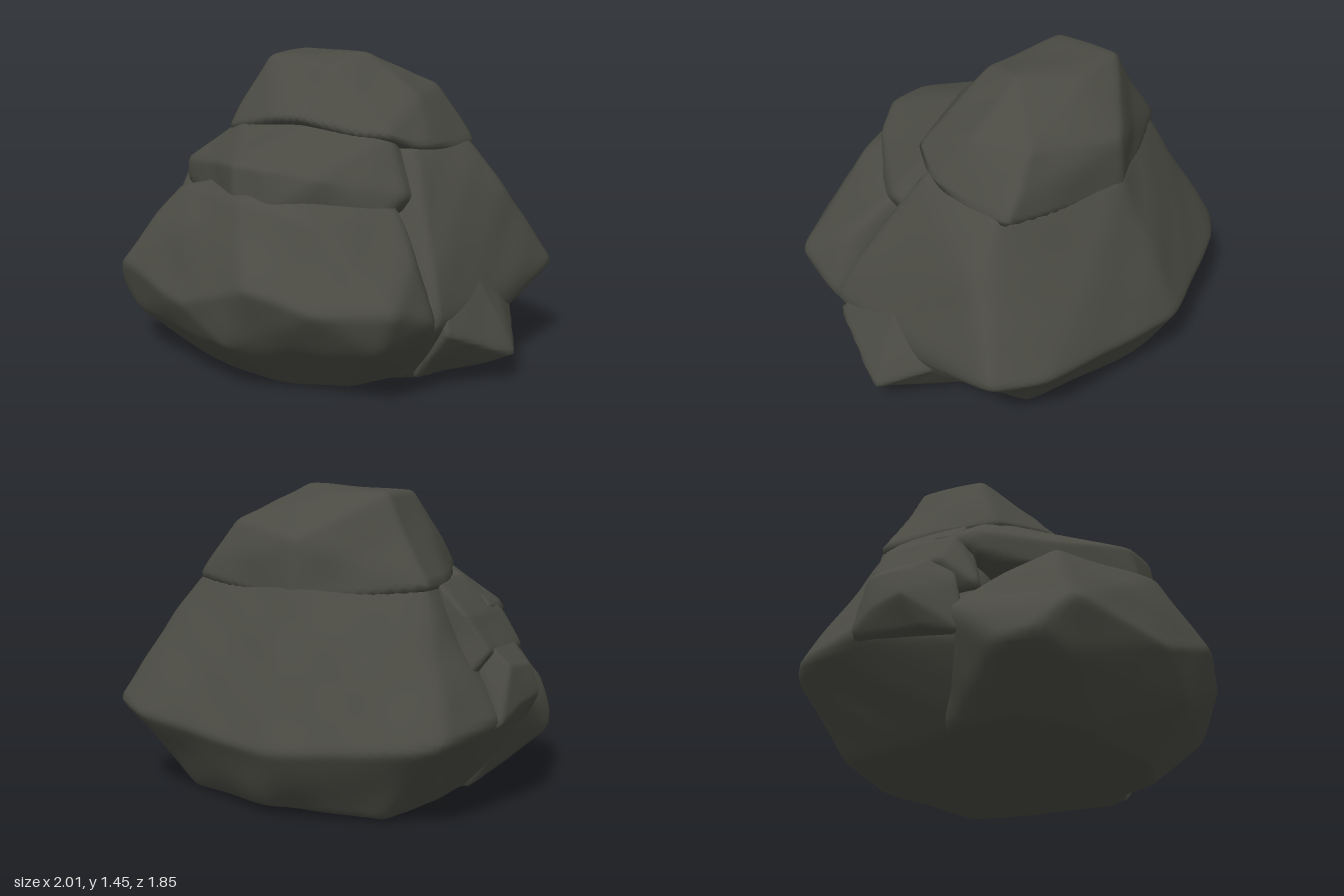
import * as THREE from 'three';
import { mergeVertices } from 'three/addons/utils/BufferGeometryUtils.js';
import { ConvexGeometry } from 'three/addons/geometries/ConvexGeometry.js';

// Face planes of the convex hull around the corner points, near-duplicates merged
function hullPlanes(points, center) {
  const pos = new ConvexGeometry(points).attributes.position;
  const planes = [], tri = new THREE.Triangle();
  for (let i = 0; i < pos.count; i += 3) {
    tri.setFromAttributeAndIndices(pos, i, i + 1, i + 2);
    const n = tri.getNormal(new THREE.Vector3());
    const d = n.dot(tri.a) - n.dot(center);
    if (d > 1e-4 && !planes.some(q => q.n.dot(n) > 0.995 && Math.abs(q.d - d) < 0.02)) planes.push({ n, d });
  }
  return planes;
}

// Gentle weathering: broad dents plus faint sloping strata
function weather(p) {
  return 0.008 * Math.sin(5.1 * p.x + 3.3 * p.y + 1) * Math.sin(4.7 * p.z - 4.1 * p.y)
    + 0.004 * Math.sin(13 * p.y + 5 * p.x + 2 * Math.sin(4 * p.z))
    + 0.003 * Math.sin(17 * p.x - 9 * p.z) * Math.sin(15 * p.y + 7 * p.z);
}

// A stone: sphere pushed out to a softly rounded version of the hull of its corners
function stone(name, corners, material, detail = 24, sharpness = 80) {
  const points = corners.map(c => new THREE.Vector3(...c));
  const center = points.reduce((s, p) => s.add(p), new THREE.Vector3()).divideScalar(points.length);
  const planes = hullPlanes(points, center);
  let geo = new THREE.IcosahedronGeometry(1, detail);
  geo.deleteAttribute('normal');
  geo.deleteAttribute('uv');
  geo = mergeVertices(geo, 1e-4);
  const pos = geo.attributes.position, v = new THREE.Vector3();
  for (let i = 0; i < pos.count; i++) {
    v.fromBufferAttribute(pos, i).normalize();
    let sum = 0;
    for (const { n, d } of planes) sum += Math.pow(Math.max(0, n.dot(v) / d), sharpness);
    const r = 1.014 * Math.pow(sum, -1 / sharpness);
    const w = weather(v.clone().multiplyScalar(r).add(center));
    v.multiplyScalar(r + w).add(center);
    pos.setXYZ(i, v.x, Math.max(0, v.y), v.z);
  }
  geo.computeVertexNormals();
  const mesh = new THREE.Mesh(geo, material);
  mesh.name = name;
  return mesh;
}

export function createModel() {
  const rock = new THREE.MeshStandardMaterial({ color: 0x4b4b44 });
  rock.name = 'dark rock';
  const group = new THREE.Group();
  group.name = 'boulder';

  // Five-sided cap stone
  group.add(stone('capStone', [
    [-0.37, 1.43, -0.32], [-0.37, 1.43, 0.0], [0.12, 1.46, -0.13], [-0.1, 1.42, -0.34], [0.05, 1.41, 0.08],
    [0.36, 1.3, -0.4], [0.42, 1.27, -0.12], [-0.05, 1.23, -0.58], [0.48, 1.13, -0.43],
    [-0.62, 1.02, -0.4], [-0.05, 0.95, -0.62], [0.56, 1.02, -0.42], [0.56, 1.02, -0.2], [0.52, 1.06, 0.06],
    [0.43, 1.12, 0.19], [0, 1.18, 0.3], [-0.17, 1.16, 0.27], [-0.51, 1.07, 0.15], [-0.62, 1.02, -0.18],
    [0, 0.85, -0.1],
  ], rock));

  // Large rear stone
  group.add(stone('rearStone', [
    [-0.58, 1.02, -0.38], [-0.05, 1.02, -0.61], [0.55, 1.03, -0.38], [0.52, 1.03, 0.1], [-0.5, 1.05, 0.1],
    [0.74, 0.82, -0.38], [0.8, 0.63, -0.54], [0.9, 0.43, -0.61], [0.68, 0.4, -0.77],
    [-0.1, 0.34, -0.93], [-0.7, 0.38, -0.77], [-0.83, 0.4, -0.68], [-0.93, 0.45, -0.3],
    [0.87, 0.29, -0.22], [0.83, 0.36, 0.42], [0.69, 0.68, 0.28], [-0.85, 0.35, 0.2],
    [0.53, 0.02, -0.53], [0.64, 0.02, 0.25], [0.3, 0.02, 0.5], [0, 0.05, -0.74],
    [-0.5, 0.02, -0.62], [-0.65, 0.02, 0.2],
  ], rock, 32));

  // Pointed spur flaring out low on the side
  group.add(stone('spur', [
    [1.01, 0.14, 0.0], [0.87, 0.28, -0.23], [0.85, 0.31, 0.37], [0.62, 0.88, 0.04], [0.72, 0.64, -0.18],
    [0.6, 0.03, -0.25], [0.64, 0.03, 0.3], [0.72, 0.6, 0.28], [0.45, 0.4, 0.05],
  ], rock, 20, 110));

  // Big front stone
  group.add(stone('frontStone', [
    [-0.55, 0.84, 0.48], [0, 0.87, 0.74], [0.3, 0.82, 0.69], [0.7, 0.65, 0.42], [0.05, 1.0, 0.3], [0.55, 0.82, 0.3],
    [0.15, 0.53, 0.93], [-0.25, 0.39, 0.87], [0.46, 0.45, 0.86], [0.77, 0.47, 0.7], [0.05, 0.35, 0.88],
    [-0.79, 0.46, 0.67], [-0.9, 0.4, 0.35], [-0.88, 0.48, 0.12],
    [-0.92, 0.26, 0.4], [-0.89, 0.29, 0.54], [-0.72, 0.22, 0.63], [0, 0.23, 0.86], [0.69, 0.27, 0.68], [0.83, 0.36, 0.42],
    [-0.66, 0.02, 0.35], [-0.35, 0.02, 0.55], [0.1, 0.02, 0.62], [0.45, 0.02, 0.48], [0.6, 0.02, 0.2],
    [-0.65, 0.02, 0], [0, 0.5, -0.2],
  ], rock, 28));

  // Sloping slab between the cap and the front stone
  group.add(stone('frontSlab', [
    [-0.45, 1.12, 0.1], [0.4, 1.13, 0.12], [0, 1.15, 0.26],
    [-0.77, 0.9, -0.03], [-0.75, 0.9, 0.2], [-0.1, 1.01, 0.65], [0.1, 1.01, 0.66], [0.3, 0.97, 0.56],
    [0.4, 0.95, 0.42], [0.56, 0.88, 0.26], [-0.72, 0.78, 0.22], [-0.08, 0.83, 0.69], [0.12, 0.83, 0.7],
    [0.5, 0.78, 0.37], [0.55, 0.8, 0], [-0.1, 0.6, 0.1],
  ], rock));

  // Stacked ledges on the opposite side
  group.add(stone('upperLedge', [
    [-0.6, 1.04, -0.25], [-0.6, 1.04, 0.05], [-0.76, 0.9, -0.3], [-0.78, 0.88, 0.1], [-0.87, 0.74, -0.28],
    [-0.88, 0.73, 0.08], [-0.82, 0.58, 0.25], [-0.76, 0.6, -0.34], [-0.4, 0.8, 0],
  ], rock, 16));
  group.add(stone('lowerLedge', [
    [-0.76, 0.84, -0.22], [-0.8, 0.8, 0.08], [-0.95, 0.67, -0.24], [-0.97, 0.66, -0.04], [-1.0, 0.53, -0.03],
    [-0.98, 0.51, -0.18], [-0.94, 0.43, -0.32], [-0.93, 0.4, 0.03], [-0.87, 0.36, 0.2], [-0.75, 0.32, -0.3],
    [-0.87, 0.6, 0.16], [-0.5, 0.55, -0.05],
  ], rock, 16));

  return group;
}
